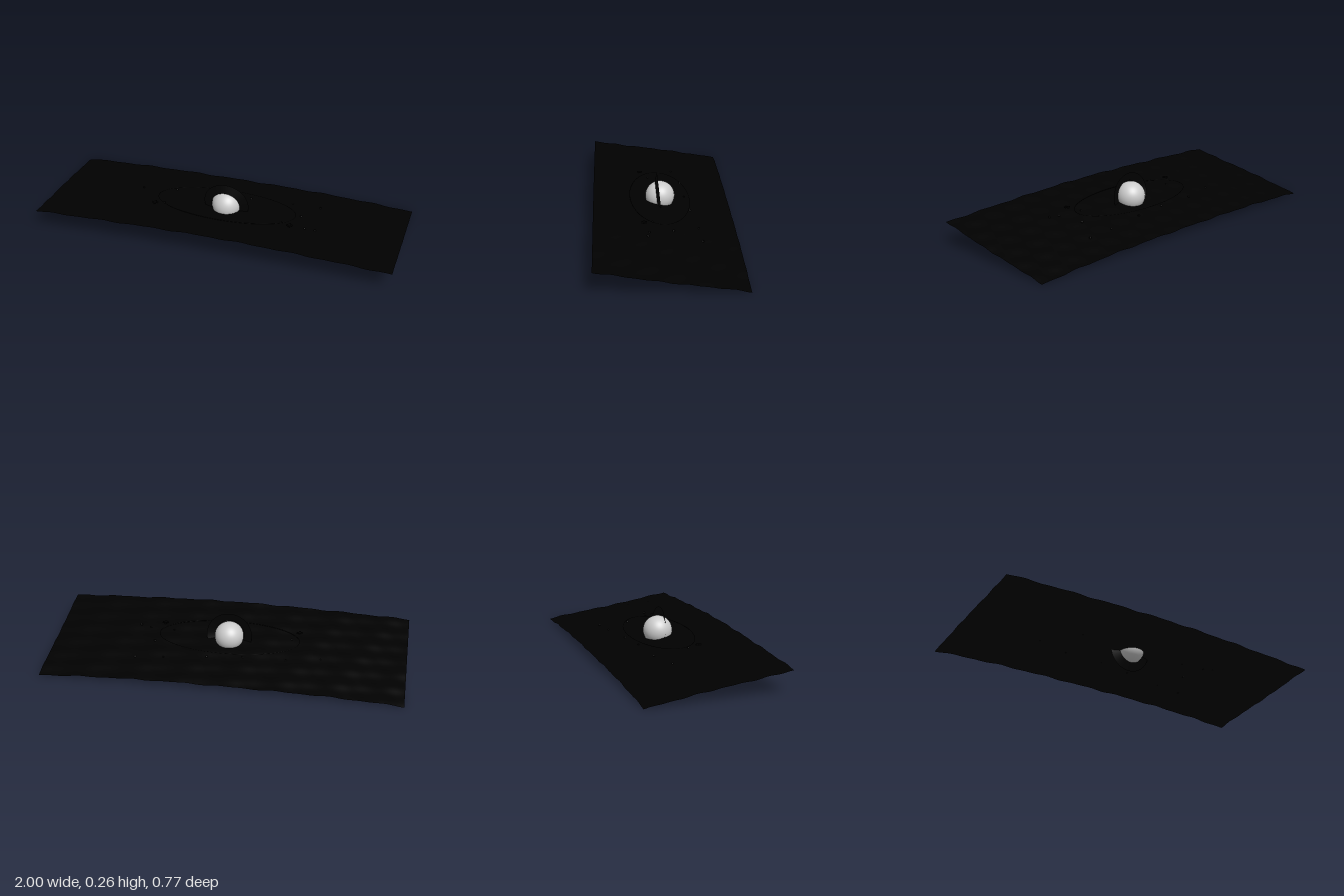
import * as THREE from 'three';

const grey = new THREE.MeshStandardMaterial({ color: 0xcccccc });
const black = new THREE.MeshStandardMaterial({ color: 0x000000, side: THREE.DoubleSide });

// Height of the tilted, arched sheet with fine ripples
function sheetHeight(x, z) {
  const ripple = 0.0022 * Math.sin(x * 23 + z * 9) + 0.0016 * Math.sin(x * 41 - z * 33 + 1)
    + 0.0016 * Math.sin(z * 52 + x * 5);
  return 0.098 + 0.158 * z - 0.03 * x * x + ripple;
}

// Small seeded generator for the rocks
function seeded(seed) {
  return () => {
    seed = (seed * 16807) % 2147483647;
    return seed / 2147483647;
  };
}

export function createModel() {
  const model = new THREE.Group();
  const add = (name, geometry, material, parent = model) => {
    const mesh = new THREE.Mesh(geometry, material);
    mesh.name = name;
    parent.add(mesh);
    return mesh;
  };

  // Rippled sheet
  const sheet = new THREE.PlaneGeometry(2, 0.772, 120, 48).rotateX(-Math.PI / 2);
  const p = sheet.attributes.position;
  for (let i = 0; i < p.count; i++) p.setY(i, sheetHeight(p.getX(i), p.getZ(i)));
  sheet.computeVertexNormals();
  add('rippledSheet', sheet, black);

  // Central globe
  add('globe', new THREE.SphereGeometry(0.082, 48, 32), grey).position.set(0, 0.132, 0.013);

  // Upright conical collar: the inner rim sits forward of the outer rim
  const collarProfile = [new THREE.Vector2(0.129, 0), new THREE.Vector2(0.082, 0.017)];
  const collar = add('collar', new THREE.LatheGeometry(collarProfile, 64), black);
  collar.rotation.x = Math.PI / 2 + 0.1;
  collar.position.set(0, 0.1335, 0.0155);

  // Thin elliptical orbit around the globe
  const orbitPoints = [];
  for (let i = 0; i < 48; i++) {
    const a = (i / 48) * Math.PI * 2;
    const z = 0.015 + 0.168 * Math.sin(a);
    orbitPoints.push(new THREE.Vector3(0.4 * Math.cos(a), 0.12 + 0.082 * z, z));
  }
  const orbitPath = new THREE.CatmullRomCurve3(orbitPoints, true);
  add('orbit', new THREE.TubeGeometry(orbitPath, 120, 0.0014, 6, true), black);

  // Small pair of craft by the ends of the orbit
  for (const x of [-0.39, 0.39]) {
    const craft = new THREE.Group();
    craft.name = 'craft';
    add('craftBody', new THREE.BoxGeometry(0.012, 0.008, 0.03), black, craft);
    add('craftFin', new THREE.BoxGeometry(0.035, 0.003, 0.012), black, craft);
    craft.position.set(x, 0.131, 0.115);
    model.add(craft);
  }

  // Scattered rocks resting on the sheet
  const random = seeded(17);
  const rocks = new THREE.Group();
  rocks.name = 'rocks';
  const spots = [[0.34, -0.18], [0.5, -0.19], [0.42, -0.04], [0.53, 0.1], [-0.53, -0.08],
    [0.33, 0.07], [-0.34, -0.12], [0.1, -0.15], [-0.1, -0.13], [-0.35, 0.07], [0.47, 0.09]];
  for (const [x, z] of spots) {
    const rock = add('rock', new THREE.IcosahedronGeometry(0.005 + 0.003 * random(), 0), black, rocks);
    rock.position.set(x, sheetHeight(x, z) + 0.003, z);
    rock.rotation.set(random() * 3, random() * 3, 0);
  }
  model.add(rocks);

  return model;
}
